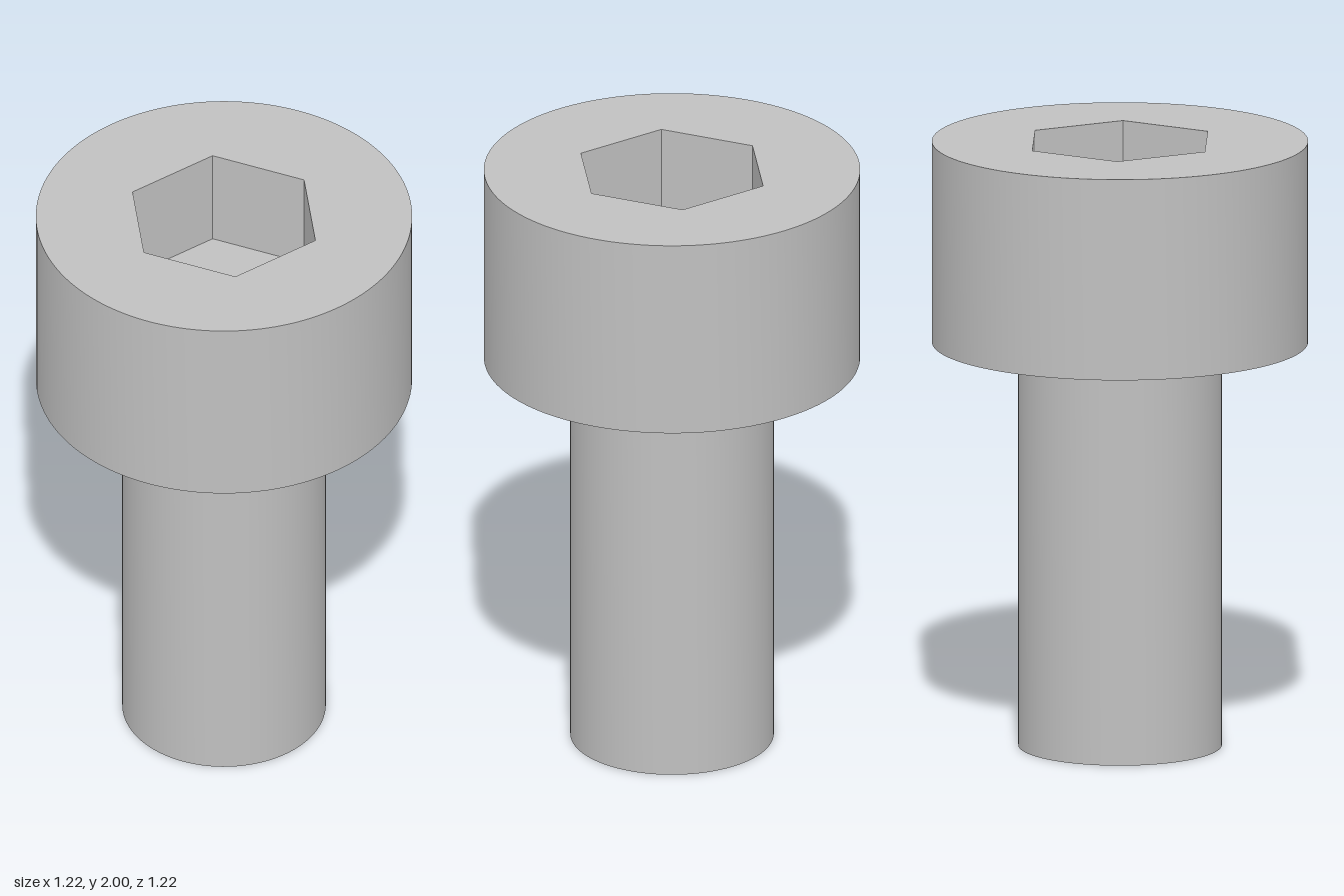
import * as THREE from 'three';
import { toCreasedNormals } from 'three/addons/utils/BufferGeometryUtils.js';

const SIDES = 96;
const HEAD_R = 0.61, SHANK_R = 0.33, SOCKET_R = 0.323;
const HEAD_BASE = 1.335, TOP = 2, SOCKET_FLOOR = 1.66;

export function createModel() {
  const group = new THREE.Group();
  const steel = new THREE.MeshStandardMaterial({ color: 0xc0c0c0 });
  steel.name = 'steel';

  const add = (name, geometry) => {
    const mesh = new THREE.Mesh(geometry, steel);
    mesh.name = name;
    group.add(mesh);
  };
  // Revolved profile with sharp corners; [radius, height] pairs
  const turned = (profile, sides) => toCreasedNormals(
    new THREE.LatheGeometry(profile.map(([r, y]) => new THREE.Vector2(r, y)), sides), 0.5);

  // Plain shank with a closed lower end
  add('shank', turned([[0, 0], [SHANK_R, 0], [SHANK_R, HEAD_BASE]], SIDES));

  // Head: bearing face and cylindrical side
  add('head', turned([[SHANK_R, HEAD_BASE], [HEAD_R, HEAD_BASE], [HEAD_R, TOP]], SIDES));

  // Flat top of the head with a hexagonal opening
  const face = new THREE.Shape().absarc(0, 0, HEAD_R, 0, Math.PI * 2, false);
  const corners = Array.from({ length: 6 }, (_, i) => {
    const a = i * Math.PI / 3;
    return new THREE.Vector2(SOCKET_R * Math.sin(a), SOCKET_R * Math.cos(a));
  });
  face.holes.push(new THREE.Path(corners));
  add('headTop', new THREE.ShapeGeometry(face, SIDES).rotateX(-Math.PI / 2).translate(0, TOP, 0));

  // Hexagonal drive socket: inward-facing walls and floor
  add('hexSocket', turned([[SOCKET_R, TOP], [SOCKET_R, SOCKET_FLOOR], [0, SOCKET_FLOOR]], 6));

  return group;
}
